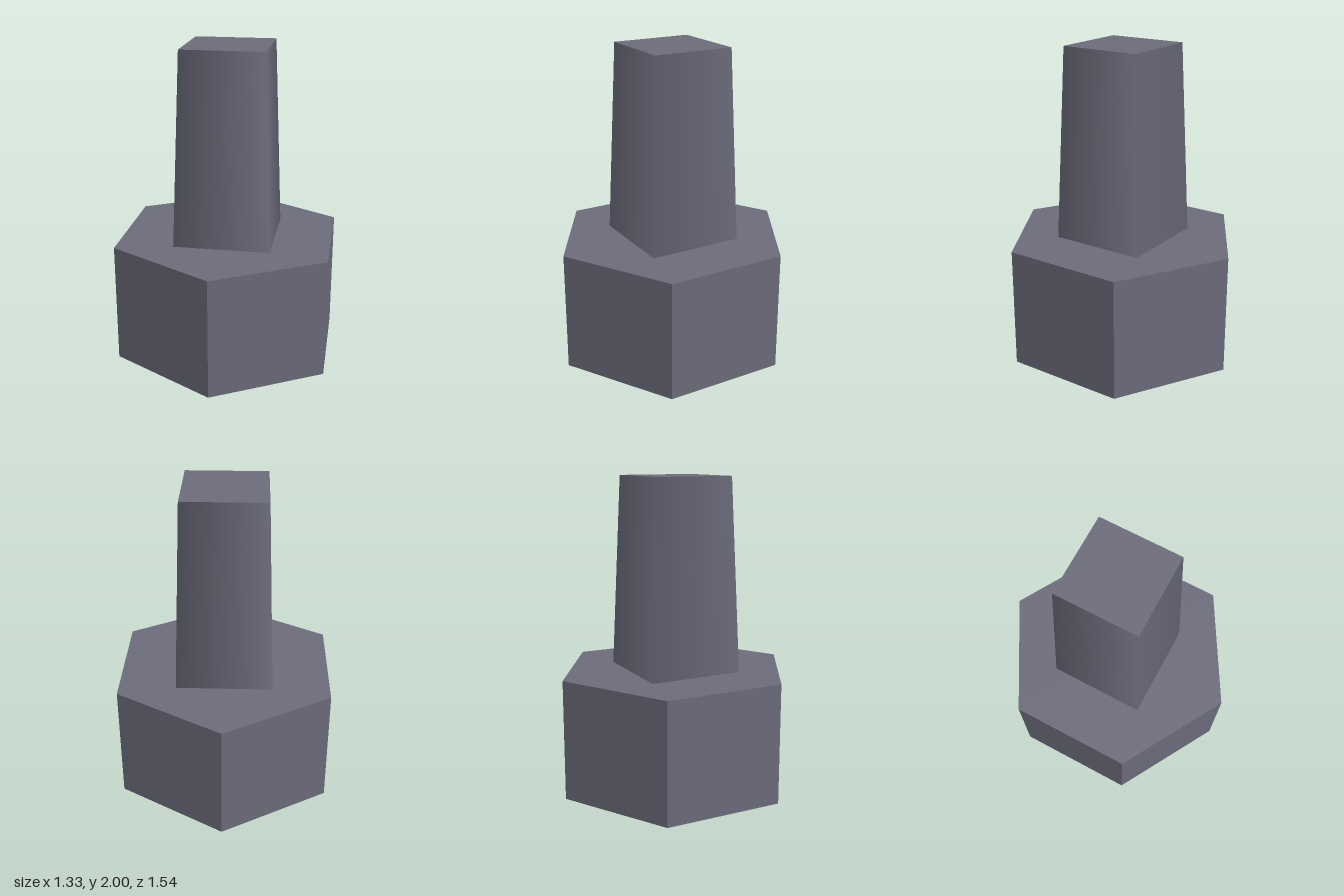
import * as THREE from 'three';

const HEAD_HEIGHT = 0.77;
const TOTAL_HEIGHT = 2;

export function createModel() {
  const group = new THREE.Group();
  group.name = 'bolt';

  const steel = new THREE.MeshStandardMaterial({ color: 0x6b6b7b });
  steel.name = 'steel grey';

  // Hexagonal head, corners on +z and -z; un-indexed so its sides shade flat
  const headGeometry = new THREE.CylinderGeometry(0.77, 0.77, HEAD_HEIGHT, 6).toNonIndexed();
  headGeometry.computeVertexNormals();
  const head = new THREE.Mesh(headGeometry, steel);
  head.name = 'hexHead';
  head.position.y = HEAD_HEIGHT / 2;
  group.add(head);

  // Tapered square shank with smooth side normals, flat sides square to the axes
  const shankHeight = TOTAL_HEIGHT - HEAD_HEIGHT;
  const shankGeometry = new THREE.CylinderGeometry(
    0.26 * Math.SQRT2, 0.305 * Math.SQRT2, shankHeight, 4, 1, false, Math.PI / 4);
  const shank = new THREE.Mesh(shankGeometry, steel);
  shank.name = 'shank';
  shank.position.y = HEAD_HEIGHT + shankHeight / 2;
  group.add(shank);

  return group;
}
